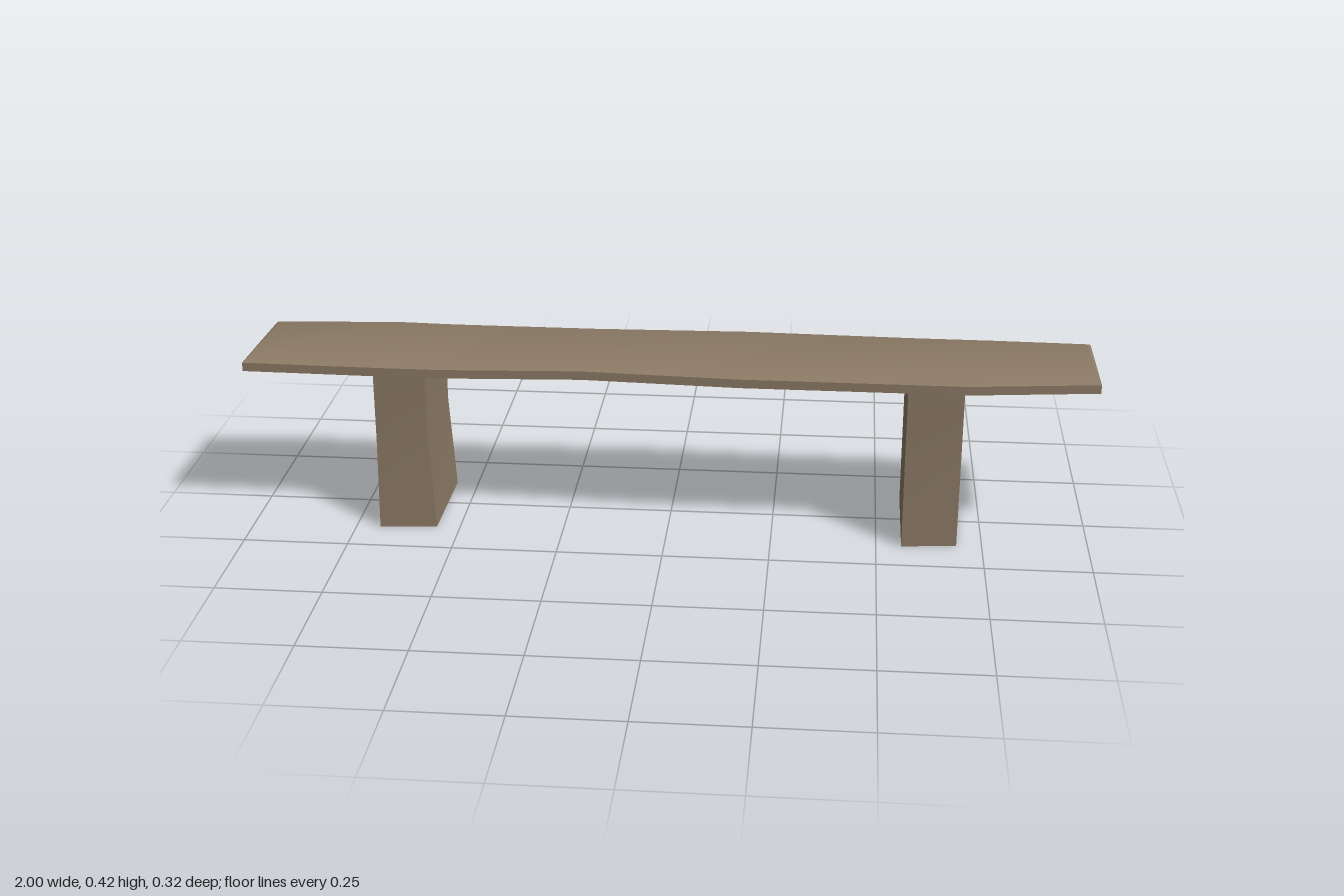
import * as THREE from 'three';
import { toCreasedNormals } from 'three/addons/utils/BufferGeometryUtils.js';

// Skin stacked rings (bottom to top, each counterclockwise from above); caps optional.
function skinRings(rings, capped) {
  const n = rings[0].length, index = [];
  for (let l = 0; l < rings.length - 1; l++) {
    for (let i = 0; i < n; i++) {
      const j = (i + 1) % n;
      const a = l * n + i, b = l * n + j, c = b + n, d = a + n;
      index.push(a, b, c, a, c, d);
    }
  }
  if (capped) {
    const t = (rings.length - 1) * n;
    for (let k = 0; k < n / 2 - 1; k++) {
      const f0 = k, f1 = k + 1, b1 = n - 2 - k, b0 = n - 1 - k;
      index.push(t + f0, t + f1, t + b1, t + f0, t + b1, t + b0);
      index.push(f0, b1, f1, f0, b0, b1);
    }
  }
  const geometry = new THREE.BufferGeometry();
  geometry.setAttribute('position', new THREE.Float32BufferAttribute(rings.flat(2), 3));
  geometry.setIndex(index);
  return toCreasedNormals(geometry, 0.5);
}

export function createModel() {
  const group = new THREE.Group();
  const wood = new THREE.MeshStandardMaterial({ color: 0x8b7a65, side: THREE.DoubleSide });
  wood.name = 'weathered wood';

  // Plank seat: wavy outline with shallow bevels above and below
  const front = [[-1, 0.15], [-0.7, 0.156], [-0.53, 0.157], [-0.2, 0.137],
    [0.17, 0.157], [0.58, 0.157], [0.7, 0.157], [1, 0.12]];
  const back = [[-0.99, -0.13], [-0.7, -0.158], [-0.55, -0.151], [-0.2, -0.15],
    [0.18, -0.163], [0.58, -0.151], [0.78, -0.15], [1, -0.144]];
  const outline = [...front, ...back.reverse()];
  const layer = (y, sx, sz) => outline.map(([x, z]) => [x * sx, y, z * sz]);
  const seat = new THREE.Mesh(skinRings([
    layer(0.385, 0.99, 0.85), layer(0.393, 1, 1),
    layer(0.414, 1, 1), layer(0.423, 0.99, 0.85),
  ], true), wood);
  seat.name = 'seat';
  group.add(seat);

  // Legs: open box sleeves, straight above and slightly splayed below the middle
  function addLeg(name, x0, x1, frontSplay) {
    const z0 = -0.122, z1 = 0.137;
    const straight = (y) => [[x0, y, z1], [x1, y, z1], [x1, y, z0], [x0, y, z0]];
    const foot = [[x0, 0, 0.15], [x1 + frontSplay, 0, z1], [x1 + 0.015, 0, z0], [x0, 0, z0]];
    const leg = new THREE.Mesh(skinRings([foot, straight(0.23), straight(0.39)], false), wood);
    leg.name = name;
    group.add(leg);
  }
  addLeg('leftLeg', 0.56, 0.69, 0);
  addLeg('rightLeg', -0.692, -0.568, 0.012);

  return group;
}
